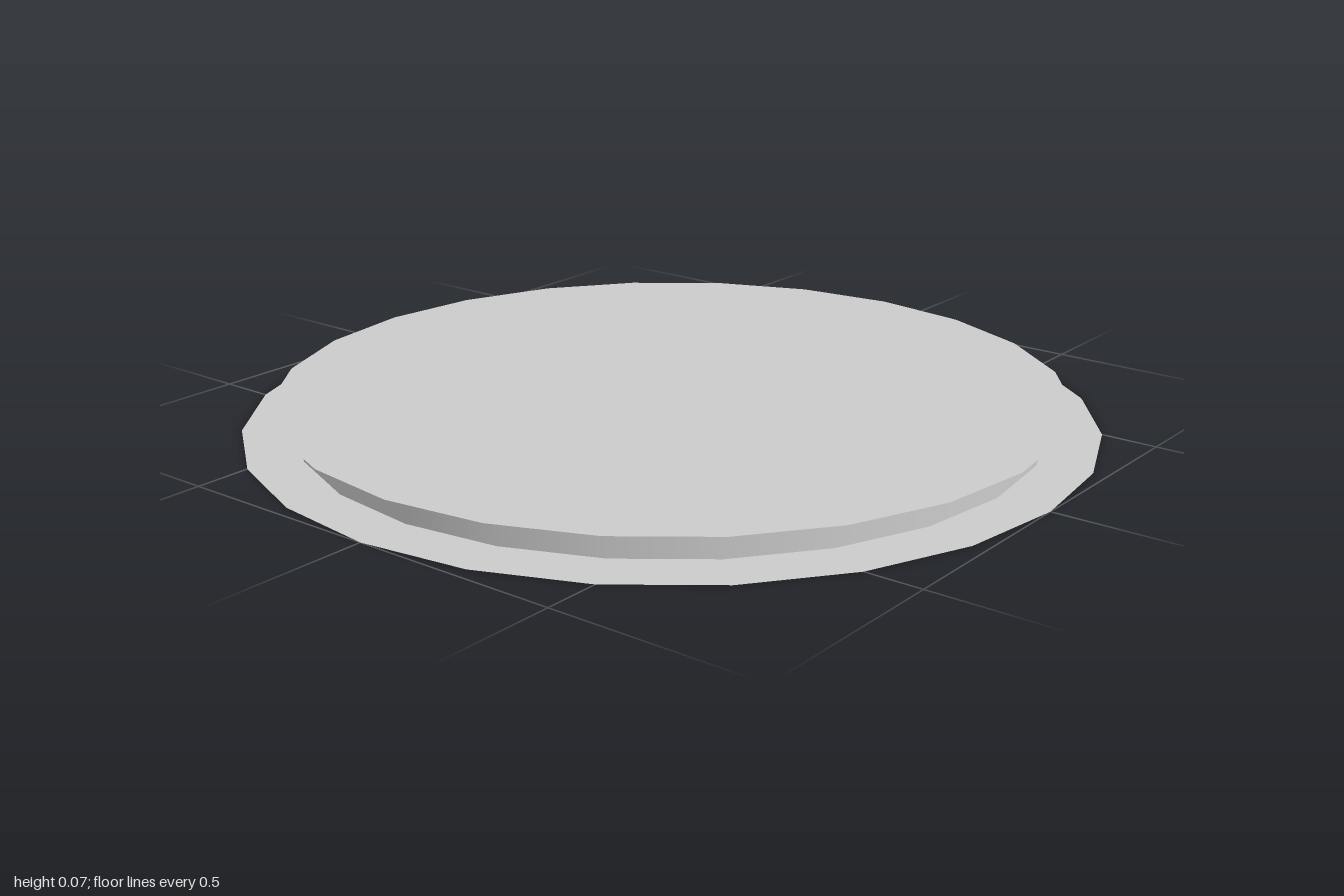
import * as THREE from 'three';

const SIDES = 24;
const HEIGHT = 0.07;

export function createModel() {
  const group = new THREE.Group();
  group.name = 'lowRoundPlatform';
  const material = new THREE.MeshStandardMaterial({ color: 0xcccccc, side: THREE.DoubleSide });

  const add = (name, geometry, y) => {
    const mesh = new THREE.Mesh(geometry, material);
    mesh.name = name;
    mesh.position.y = y;
    group.add(mesh);
  };

  // Paper-thin horizontal disc facing up
  const disc = (radius) => new THREE.CircleGeometry(radius, SIDES).rotateX(-Math.PI / 2);

  // Wide base sheet on the ground
  add('basePlate', disc(1), 0);

  // Upright wall, set in from the lid's rim
  add('sideWall', new THREE.CylinderGeometry(0.875, 0.875, HEIGHT, SIDES, 1, true), HEIGHT / 2);

  // Flat lid overhanging the wall
  add('topPlate', disc(0.93), HEIGHT);

  return group;
}
